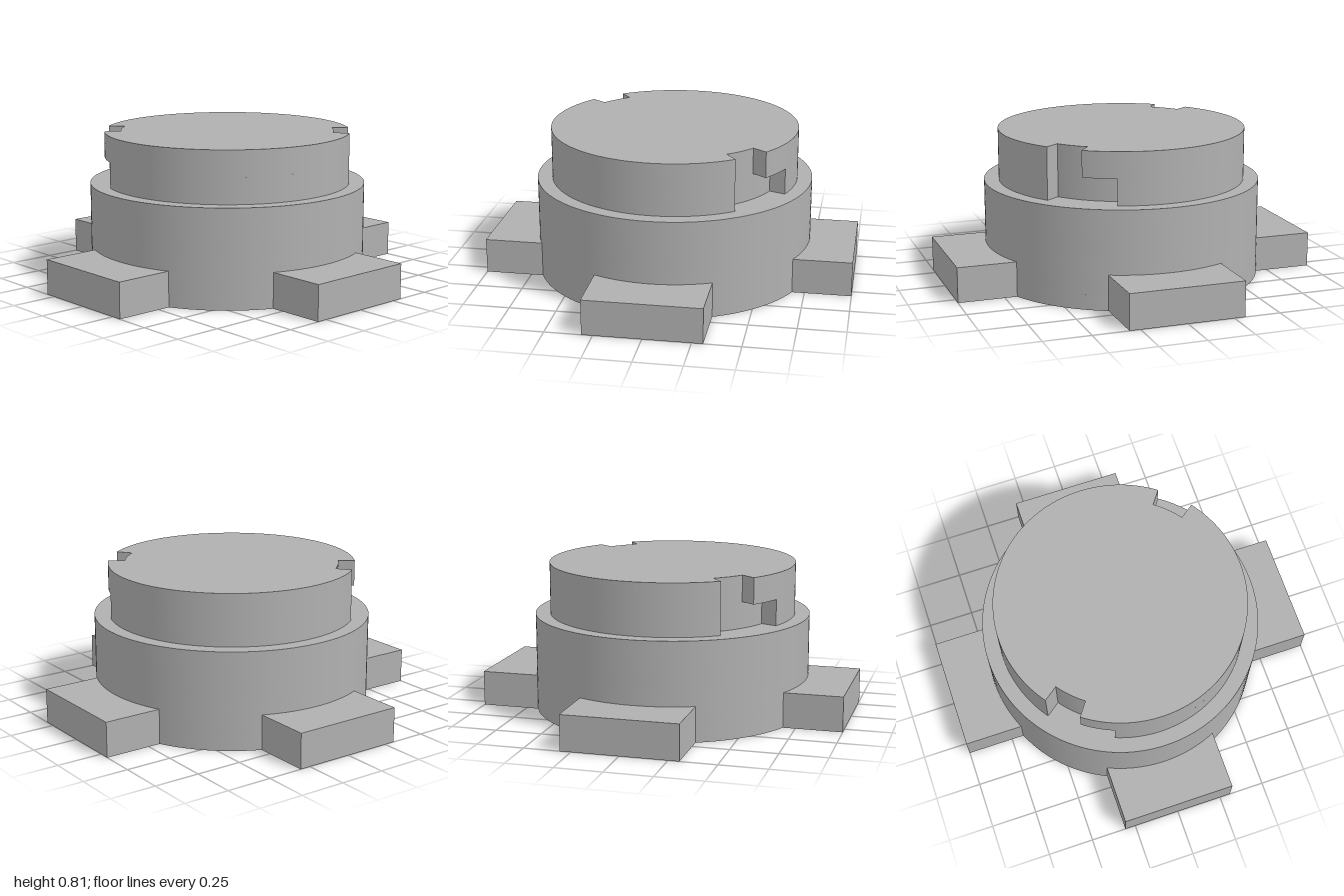
import * as THREE from 'three';
import { toCreasedNormals } from 'three/addons/utils/BufferGeometryUtils.js';

const BODY_R = 0.75, PLUG_R = 0.67, SLOT_R = 0.58;
const rad = THREE.MathUtils.degToRad;

// Extrude a plan outline (x, z) between two heights
function slab(shape, y0, y1) {
  const geo = new THREE.ExtrudeGeometry(shape, { depth: y1 - y0, bevelEnabled: false, curveSegments: 72 });
  geo.rotateX(Math.PI / 2);
  geo.translate(0, y1, 0);
  return toCreasedNormals(geo, rad(30));
}

// Round disc with one round hole
function discWithHole(holeR, hx, hz) {
  const s = new THREE.Shape().absarc(0, 0, BODY_R, 0, Math.PI * 2, false);
  s.holes.push(new THREE.Path().absarc(hx, hz, holeR, 0, Math.PI * 2, true));
  return s;
}

// Disc with two opposite notches cut into its rim, angles in degrees
function notchedDisc(from, to) {
  const s = new THREE.Shape();
  for (const turn of [0, 180]) {
    s.absarc(0, 0, SLOT_R, rad(from + turn), rad(to + turn), false);
    s.absarc(0, 0, PLUG_R, rad(to + turn), rad(from + turn + 180), false);
  }
  s.closePath();
  return s;
}

// Straight lug whose inner end follows the round body
function lugShape() {
  const w = 0.308, a = Math.acos(w / BODY_R);
  const s = new THREE.Shape();
  s.moveTo(w, 1);
  s.lineTo(-w, 1);
  s.absarc(0, 0, BODY_R, Math.PI - a, a, true);
  s.closePath();
  return s;
}

export function createModel() {
  const model = new THREE.Group();
  model.name = 'bayonetCap';
  const grey = new THREE.MeshStandardMaterial({ color: 0xb0b0b0 });
  grey.name = 'grey';

  const add = (name, geo) => {
    const mesh = new THREE.Mesh(geo, grey);
    mesh.name = name;
    model.add(mesh);
    return mesh;
  };

  // Lower body: shallow recess, then an off-centre stepped bore
  add('recessRim', slab(discWithHole(0.536, 0, 0), 0, 0.08));
  add('counterboreBody', slab(discWithHole(0.255, 0.2, 0.2), 0.08, 0.275));
  add('boreBody', slab(discWithHole(0.195, 0.2, 0.2), 0.275, 0.53));

  // Upper plug with L-shaped locking slots
  add('plugLower', slab(notchedDisc(111, 143.5), 0.53, 0.67));
  add('plugUpper', slab(notchedDisc(126.5, 143.5), 0.67, 0.81));

  // Four lugs around the base
  const lug = slab(lugShape(), 0, 0.19);
  for (let i = 0; i < 4; i++) add('lug' + (i + 1), lug).rotation.y = i * Math.PI / 2;

  return model;
}
